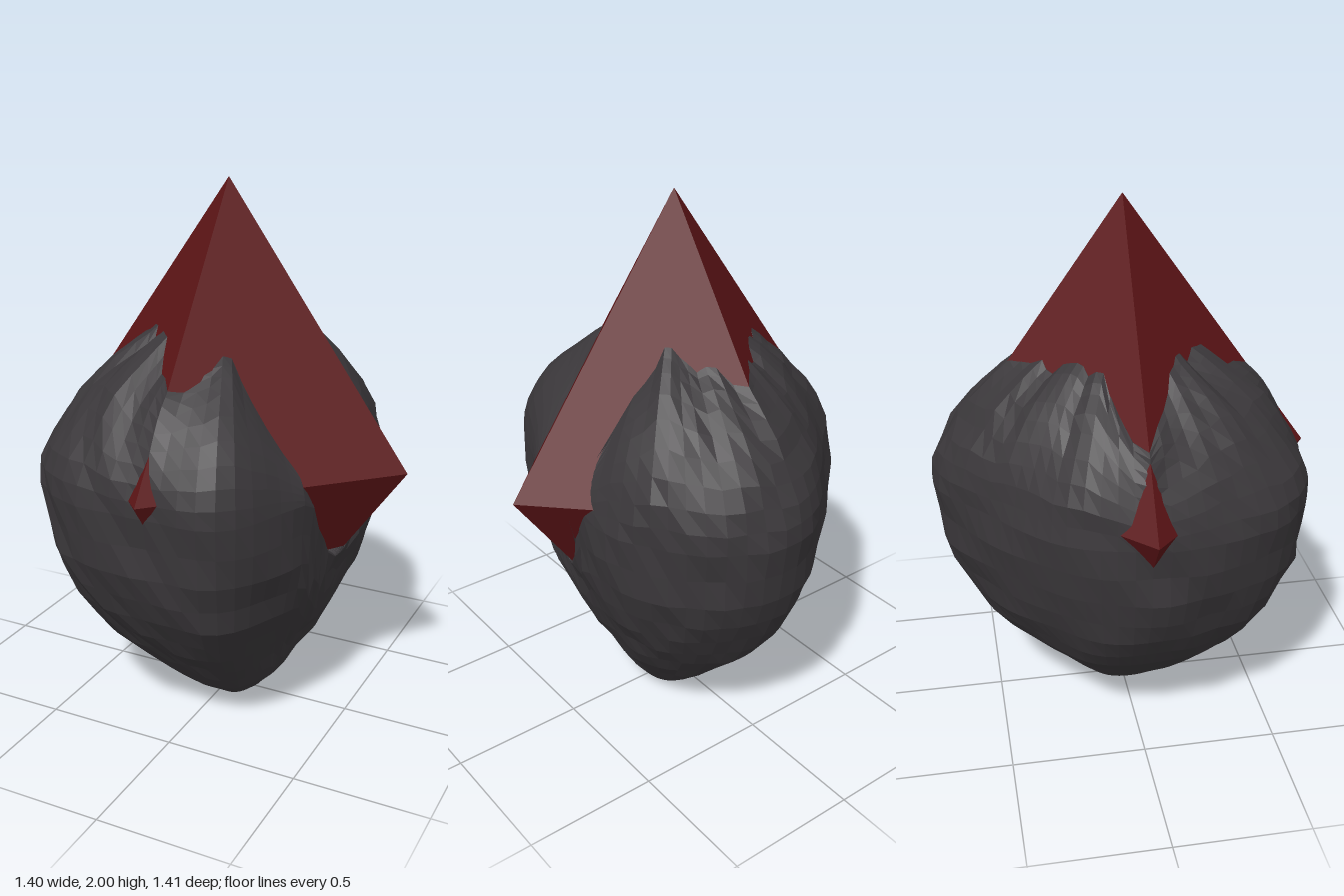
import * as THREE from 'three';

const EQUATOR = 1.01, HALF = 0.99, REACH = 0.7;
const COLUMNS = 64;

// One value per 22.5 degrees, turning from +x towards +z
const WIDTH = [0.5, 0.5, 0.56, 0.67, 0.655, 0.69, 0.71, 0.65, 0.62, 0.61, 0.585, 0.62, 0.7, 0.69, 0.62, 0.55];
const RIM = [0.68, 0.86, 1.24, 1.43, 1.34, 1.46, 1.47, 1.45, 1.28, 1.44, 1.46, 1.43, 1.43, 1.47, 1.5, 1.27];

// Lower half of the shell: [height, fraction of the full width]
const BELLY = [[0, 0], [0.02, 0.16], [0.06, 0.27], [0.12, 0.38], [0.22, 0.52], [0.35, 0.7], [0.5, 0.85], [0.7, 0.96], [0.95, 1]];
const LOWER = [0, 0.02, 0.06, 0.12, 0.19, 0.27, 0.36, 0.45, 0.55, 0.65, 0.76, 0.88, 1];
const UPPER = [0.14, 0.28, 0.42, 0.56, 0.69, 0.8, 0.89, 0.95, 1];

// Smooth closed interpolation through a list of values
function around(list, t) {
  const n = list.length, i = Math.floor(t), f = t - i;
  const [a, b, c, d] = [-1, 0, 1, 2].map(k => list[(i + k + n) % n]);
  return b + 0.5 * f * (c - a + f * (2 * a - 5 * b + 4 * c - d + f * (3 * (b - c) + d - a)));
}

function bellyAt(y) {
  for (let i = 1; i < BELLY.length; i++) {
    const [y0, f0] = BELLY[i - 1], [y1, f1] = BELLY[i];
    if (y <= y1) return f0 + (f1 - f0) * (y - y0) / (y1 - y0);
  }
  return 1;
}

// Distance from the axis to the crystal's surface
function crystalRadius(angle, y) {
  return REACH * (1 - Math.abs(y - EQUATOR) / HALF) / (Math.abs(Math.cos(angle)) + Math.abs(Math.sin(angle)));
}

// Low, broad lumps and chips
function lumps(x, y, z) {
  return 0.011 * Math.sin(9 * x + 4 * y + 1) * Math.cos(8 * z - 5 * y)
    + 0.008 * Math.sin(17 * y + 11 * x) * Math.sin(15 * z + 7 * x + 2)
    + 0.004 * Math.sin(31 * x + 23 * z + 27 * y);
}

// Profile of the shell at one angle, from the foot up to the rim and into the crystal
function profile(angle, t) {
  const width = around(WIDTH, t);
  const rimY = around(RIM, t) + 0.015 * Math.sin(angle * 13) + 0.01 * Math.sin(angle * 23 + 1);
  const waistY = Math.min(0.95, rimY - 0.02);
  const waistR = width * bellyAt(waistY);
  const rimR = crystalRadius(angle, rimY);
  const points = LOWER.map(v => [waistY * v, width * bellyAt(waistY * v)]);
  for (const s of UPPER) {
    points.push([waistY + (rimY - waistY) * s, rimR + (waistR - rimR) * (1 - s * s)]);
  }
  points.push([rimY - 0.02, rimR * 0.8]);
  return points;
}

function shellGeometry() {
  const positions = [], index = [];
  let rows = 0;
  for (let c = 0; c < COLUMNS; c++) {
    const angle = c / COLUMNS * Math.PI * 2;
    const points = profile(angle, c / COLUMNS * WIDTH.length);
    rows = points.length;
    points.forEach(([y, r], row) => {
      const x = Math.cos(angle), z = Math.sin(angle);
      const fade = Math.min(1, r * 3) * (row > rows - 3 ? 0.2 : 1);
      const radius = r + lumps(x * r, y, z * r) * fade;
      // The foot sits slightly to one side
      const lean = 0.05 * Math.max(0, 1 - y / 0.35);
      positions.push(x * radius + lean, y, z * radius);
    });
  }
  for (let c = 0; c < COLUMNS; c++) {
    const here = c * rows, next = (c + 1) % COLUMNS * rows;
    for (let r = 0; r < rows - 1; r++) {
      index.push(here + r, here + r + 1, next + r + 1);
      if (r > 0) index.push(here + r, next + r + 1, next + r);
    }
  }
  const geometry = new THREE.BufferGeometry();
  geometry.setAttribute('position', new THREE.Float32BufferAttribute(positions, 3));
  geometry.setIndex(index);
  const faceted = geometry.toNonIndexed();
  faceted.computeVertexNormals();
  return faceted;
}

export function createModel() {
  const model = new THREE.Group();
  model.name = 'crystalInRock';

  // Eight-sided crystal
  const crystal = new THREE.Mesh(
    new THREE.OctahedronGeometry(1),
    new THREE.MeshStandardMaterial({ color: 0x5c1416, flatShading: true }));
  crystal.name = 'crystal';
  crystal.scale.set(REACH, HALF, REACH);
  crystal.position.y = EQUATOR;
  model.add(crystal);

  // Broken rock shell wrapped round the crystal
  const rock = new THREE.Mesh(
    shellGeometry(),
    new THREE.MeshStandardMaterial({ color: 0x3a373a, flatShading: true, side: THREE.DoubleSide }));
  rock.name = 'rockShell';
  model.add(rock);

  return model;
}
